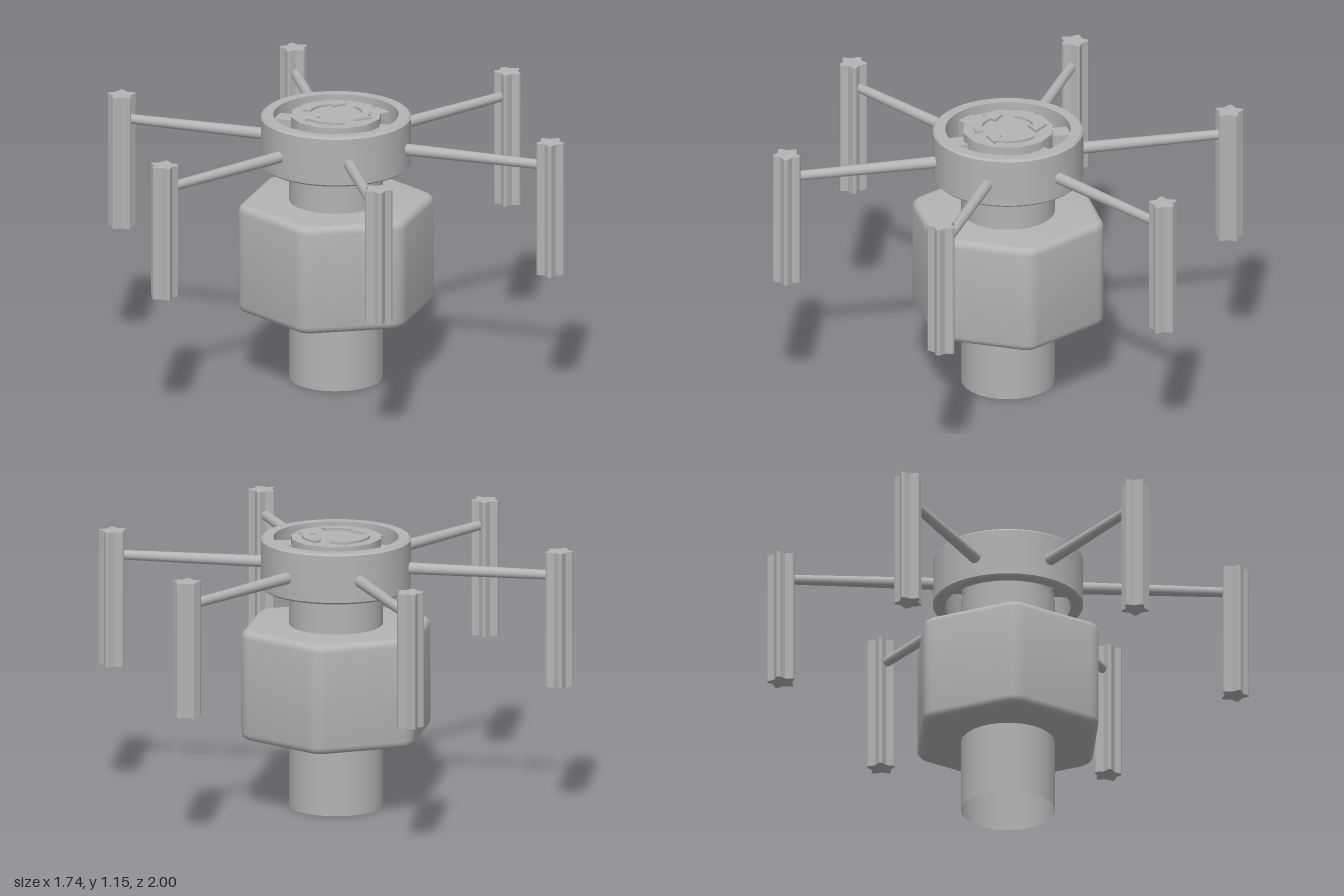
import * as THREE from 'three';
import { toCreasedNormals } from 'three/addons/utils/BufferGeometryUtils.js';

const grey = new THREE.MeshStandardMaterial({ color: 0xb4b4b4, side: THREE.DoubleSide });
grey.name = 'grey';

function add(parent, name, geometry) {
  const mesh = new THREE.Mesh(geometry, grey);
  mesh.name = name;
  parent.add(mesh);
  return mesh;
}

// Lathe from [radius, height] pairs, with sharp edges kept
function lathe(points, segments) {
  const profile = points.map(([r, y]) => new THREE.Vector2(r, y));
  return toCreasedNormals(new THREE.LatheGeometry(profile, segments), 0.6);
}

// Extrude a plan outline upward, from y to y + height
function extrudeUp(points, y, height, bevel = 0) {
  const geometry = new THREE.ExtrudeGeometry(new THREE.Shape(points), {
    depth: height - 2 * bevel, bevelEnabled: bevel > 0,
    bevelSize: bevel, bevelThickness: bevel, bevelSegments: 4,
  });
  geometry.rotateX(-Math.PI / 2).translate(0, y + bevel, 0);
  return toCreasedNormals(geometry, 0.6);
}

const polar = (r, a) => new THREE.Vector2(r * Math.cos(a), r * Math.sin(a));

// Hexagon with rounded corners, corners on the x axis
function roundedHexagon(apothem, radius) {
  const points = [];
  for (let k = 0; k < 6; k++) {
    const a = k * Math.PI / 3;
    const centre = polar((apothem - radius) / Math.cos(Math.PI / 6), a);
    for (let i = 0; i <= 6; i++) {
      points.push(polar(radius, a + (i / 6 - 0.5) * Math.PI / 3).add(centre));
    }
  }
  return points;
}

// Five-pointed star with blunt tips, one tip along +x
function star(outer, inner) {
  const points = [];
  for (let k = 0; k < 5; k++) {
    const a = k * Math.PI * 2 / 5;
    points.push(polar(outer * 0.97, a - 0.12), polar(outer, a), polar(outer * 0.97, a + 0.12));
    points.push(polar(inner, a + Math.PI / 5));
  }
  return points;
}

// Curved arrow sweeping clockwise
function curvedArrow(start) {
  const sweep = 1.2, outer = [], inner = [];
  for (let i = 0; i <= 10; i++) {
    const a = start - sweep * i / 10;
    outer.push(polar(0.142, a));
    inner.unshift(polar(0.108, a));
  }
  const end = start - sweep;
  return [...outer, polar(0.162, end), polar(0.122, end - 0.5), polar(0.085, end), ...inner];
}

export function createModel() {
  const model = new THREE.Group();
  model.name = 'rotor';

  // Hollow shaft and rounded hexagonal body
  const shaft = new THREE.CylinderGeometry(0.195, 0.195, 0.95, 28, 1, true);
  add(model, 'shaft', shaft.translate(0, 0.475, 0));
  add(model, 'hexBody', extrudeUp(roundedHexagon(0.335, 0.05), 0.31, 0.465, 0.03));

  // Rim ring around a twelve-sided hub
  add(model, 'rim', lathe([
    [0.26, 0.93], [0.303, 0.93], [0.312, 0.938], [0.312, 1.137],
    [0.303, 1.145], [0.26, 1.145], [0.26, 0.93],
  ], 48));
  const hub = new THREE.CylinderGeometry(0.19, 0.19, 0.205, 12);
  add(model, 'hub', hub.translate(0, 1.0425, 0));

  // Three turning arrows on the hub
  for (let k = 0; k < 3; k++) {
    const points = curvedArrow(2.72 - k * Math.PI * 2 / 3);
    add(model, 'turnArrow', extrudeUp(points, 1.144, 0.011));
  }

  // Six arms, each with a hub spoke and a star-section paddle
  for (let k = 0; k < 6; k++) {
    const arm = new THREE.Group();
    arm.name = 'armAssembly';
    arm.rotation.y = Math.PI / 6 + k * Math.PI / 3;
    model.add(arm);

    const spoke = new THREE.BoxGeometry(0.1, 0.11, 0.08);
    add(arm, 'spoke', spoke.translate(0.22, 1.055, 0));

    const rod = new THREE.CylinderGeometry(0.02, 0.025, 0.63, 16);
    add(arm, 'rod', rod.rotateZ(-Math.PI / 2).translate(0.605, 1.025, 0));

    const paddle = extrudeUp(star(0.06, 0.04), 0.555, 0.573);
    add(arm, 'paddle', paddle.translate(0.94, 0, 0));
  }
  return model;
}
